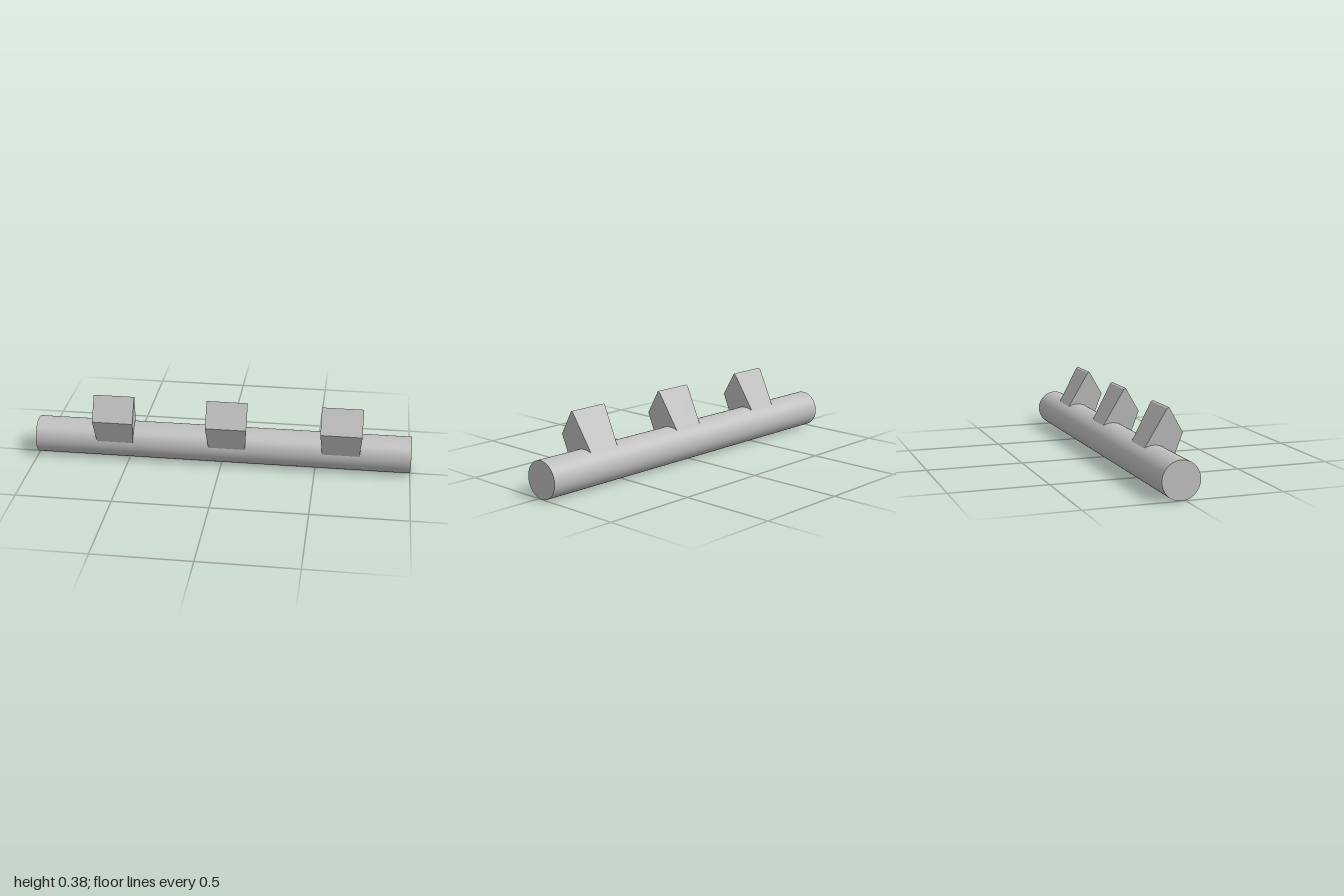
import * as THREE from 'three';

// Tapered block: a side profile in (z, y), narrowing with depth behind its slanted front face
function blockGeometry() {
  const profile = [
    [0.119, 0.25], [0.047, 0.376], [0.037, 0.37],
    [-0.085, 0.155], [0.06, 0.08],
  ].map(([z, y]) => new THREE.Vector2(z, y));
  const geometry = new THREE.ExtrudeGeometry(new THREE.Shape(profile), { depth: 1, bevelEnabled: false });
  geometry.translate(0, 0, -0.5);
  geometry.rotateY(-Math.PI / 2);
  const pos = geometry.attributes.position;
  for (let i = 0; i < pos.count; i++) {
    const depth = (0.119 - pos.getZ(i)) * 0.868 + (0.25 - pos.getY(i)) * 0.496;
    pos.setX(i, Math.sign(pos.getX(i)) * (0.108 - 0.1 * Math.max(depth, 0)));
  }
  geometry.computeVertexNormals();
  return geometry;
}

export function createModel() {
  const model = new THREE.Group();
  model.name = 'barWithBlocks';
  const grey = new THREE.MeshStandardMaterial({ color: 0xbfbfbf });
  grey.name = 'grey';

  // Long round bar
  const bar = new THREE.Mesh(new THREE.CylinderGeometry(0.0965, 0.0965, 2, 64), grey);
  bar.name = 'bar';
  bar.rotation.z = Math.PI / 2;
  bar.position.set(0, 0.0965, -0.022);
  model.add(bar);

  // Three blocks standing on the bar
  const geometry = blockGeometry();
  [-0.567, 0.034, 0.635].forEach((x, i) => {
    const block = new THREE.Mesh(geometry, grey);
    block.name = ['rightBlock', 'middleBlock', 'leftBlock'][i];
    block.position.x = x;
    model.add(block);
  });
  return model;
}
